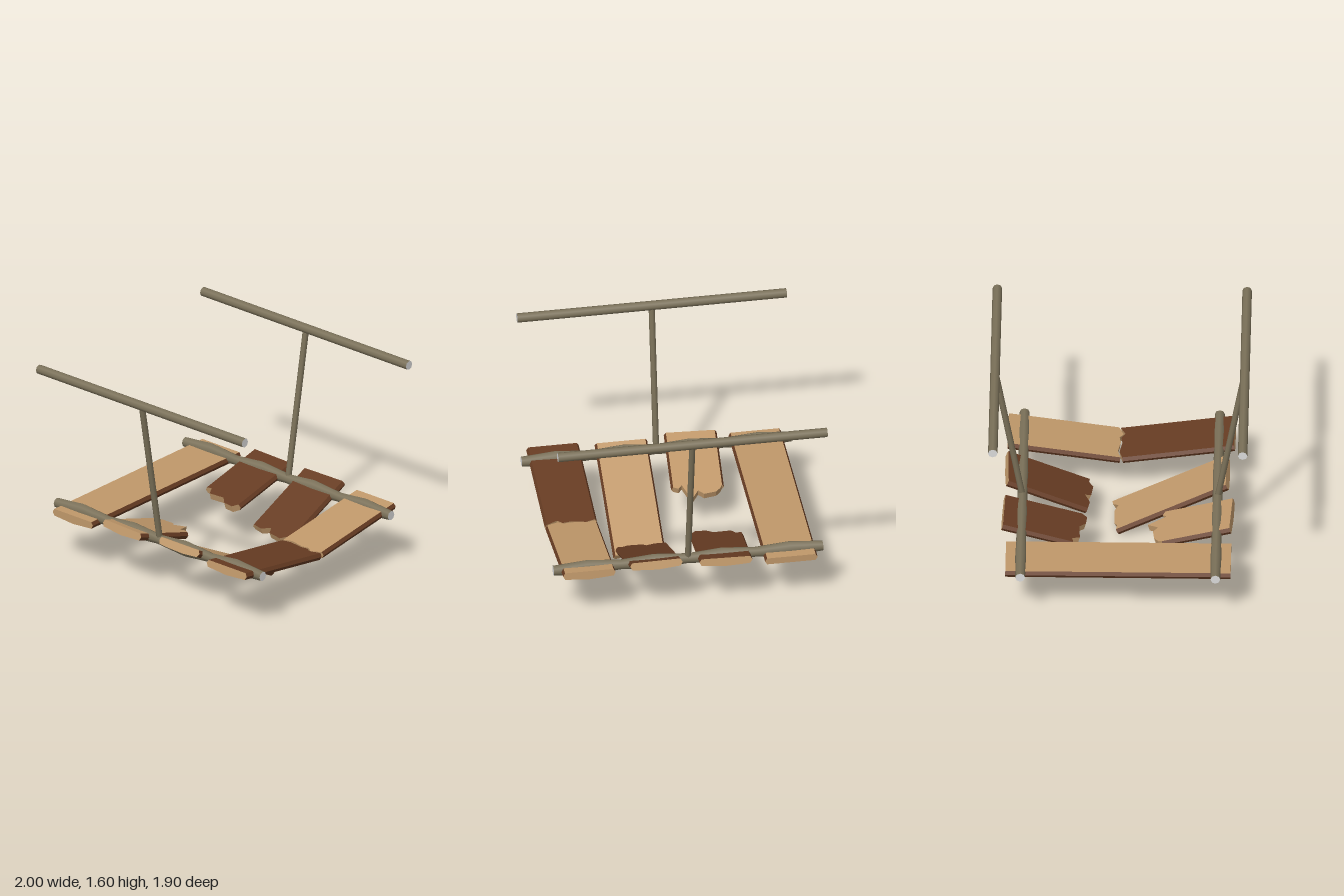
import * as THREE from 'three';

const mat = (name, color) => {
  const m = new THREE.MeshStandardMaterial({ color });
  m.name = name;
  return m;
};

const ROPE_Z = 0.715, ROPE_Y = 0.42;
const PLANK_X = [-0.75, -0.25, 0.25, 0.75];

// Plank lying along -z from its outer end, with bevelled sides and a broken inner end.
// ends: [u, v] pairs across the width; v runs inward from the rope.
function plankGeometry(ends, outerV, topIsLight) {
  const light = [], dark = [];
  const quad = (list, a, b, c, d) => list.push(...a, ...b, ...c, ...a, ...c, ...d);
  const first = ends[0], last = ends[ends.length - 1];
  const columns = [[first[0] - 0.015, first[1], true], ...ends, [last[0] + 0.015, last[1], true]]
    .map(([u, v, edge]) => {
      const t = edge ? 0 : 0.026, b = edge ? 0 : -0.026;
      const sag = edge ? 0 : -0.015 * Math.max(0, 1 - Math.abs(u) / 0.19);
      return { ot: [u, t, -outerV], ob: [u, b + sag, -outerV], it: [u, t, -v], ib: [u, b, -v] };
    });
  for (let i = 0; i < columns.length - 1; i++) {
    const l = columns[i], r = columns[i + 1];
    const bevel = i === 0 || i === columns.length - 2;
    quad(topIsLight && !bevel ? light : dark, l.ot, r.ot, r.it, l.it);
    quad(dark, l.ob, l.ib, r.ib, r.ob);
    quad(light, l.ob, r.ob, r.ot, l.ot);
    quad(light, r.ib, l.ib, l.it, r.it);
  }
  const g = new THREE.BufferGeometry();
  g.setAttribute('position', new THREE.Float32BufferAttribute([...light, ...dark], 3));
  g.addGroup(0, light.length / 3, 0);
  g.addGroup(light.length / 3, dark.length / 3, 1);
  g.computeVertexNormals();
  return g;
}

export function createModel() {
  const model = new THREE.Group();
  const rope = mat('rope', 0x7b7159);
  const ropeEnd = mat('rope end', 0xdcdcdc);
  const wood = mat('light wood', 0xc0986a);
  const bark = mat('dark wood', 0x673c23);

  const add = (name, geometry, material, parent = model) => {
    const m = new THREE.Mesh(geometry, material);
    m.name = name;
    parent.add(m);
    return m;
  };

  // Ropes and hangers on both sides
  for (const s of [1, -1]) {
    const side = s > 0 ? 'front' : 'back';

    const rail = new THREE.CylinderGeometry(0.035, 0.035, 2, 8).rotateZ(Math.PI / 2);
    add(side + 'HandRope', rail, [rope, ropeEnd, ropeEnd]).position.set(0, 1.56, s * 0.915);

    // The foot rope swells where it wraps each plank
    const foot = new THREE.CylinderGeometry(1, 1, 2, 8, 16).rotateZ(Math.PI / 2);
    const p = foot.attributes.position;
    for (let i = 0; i < p.count; i++) {
      const near = Math.min(...PLANK_X.map((x) => Math.abs(p.getX(i) - x)));
      const k = Math.max(0, 1 - near / 0.25);
      p.setY(i, p.getY(i) * (0.037 + 0.027 * k));
      p.setZ(i, p.getZ(i) * (0.036 + 0.006 * k));
    }
    add(side + 'FootRope', foot, [rope, ropeEnd, ropeEnd]).position.set(0, ROPE_Y, s * ROPE_Z);

    const a = new THREE.Vector3(0, ROPE_Y, s * ROPE_Z), b = new THREE.Vector3(0, 1.56, s * 0.915);
    const dir = b.clone().sub(a);
    const hanger = add(side + 'Hanger', new THREE.CylinderGeometry(0.023, 0.023, dir.length(), 8), rope);
    hanger.position.copy(a).add(b).multiplyScalar(0.5);
    hanger.quaternion.setFromUnitVectors(new THREE.Vector3(0, 1, 0), dir.normalize());
  }

  // Planks: side, centre x, downward tilt, yaw, outer z, light top, inner edge as [x offset, z]
  const planks = [
    { name: 'wholePlank', s: 1, x: -0.75, tilt: 0, yaw: 0, outer: 0.825, light: true, y: -0.02,
      edge: [[-0.18, -0.825], [0, -0.825], [0.18, -0.825]] },
    { name: 'frontSplinteredPlank', s: 1, x: -0.265, tilt: 0.29, yaw: -0.055, outer: 0.825, light: true,
      edge: [[-0.18, 0.33], [-0.165, 0.3], [-0.13, 0.27], [-0.04, 0.255], [0.0, 0.29], [0.055, 0.21],
        [0.115, 0.345], [0.14, 0.315], [0.18, 0.33]] },
    { name: 'frontHangingPlank', s: 1, x: 0.25, tilt: 0.48, yaw: 0, outer: 0.785, light: true,
      edge: [[-0.18, -0.02], [-0.14, -0.01], [-0.1, -0.032], [0.05, -0.035], [0.1, -0.005],
        [0.14, -0.045], [0.18, -0.05]] },
    { name: 'frontCrackedPlank', s: 1, x: 0.75, tilt: 0.147, yaw: 0, outer: 0.83, light: false,
      edge: [[-0.18, 0.01], [-0.11, -0.01], [0, 0.01], [0.06, 0], [0.1, 0.03], [0.18, -0.005]] },
    { name: 'backCrackedPlank', s: -1, x: 0.75, tilt: 0.147, yaw: 0, outer: 0.83, light: true,
      edge: [[-0.18, -0.01], [-0.11, -0.03], [0, -0.01], [0.06, -0.02], [0.1, 0.01], [0.18, -0.025]] },
    { name: 'backSplinteredPlank', s: -1, x: -0.265, tilt: 0.26, yaw: -0.035, outer: 0.85, light: false,
      edge: [[-0.18, -0.335], [-0.14, -0.345], [-0.11, -0.29], [0.02, -0.3], [0.07, -0.255],
        [0.15, -0.25], [0.18, -0.29]] },
    { name: 'backHangingPlank', s: -1, x: 0.255, tilt: 0.41, yaw: 0.02, outer: 0.83, light: false,
      edge: [[-0.18, -0.25], [-0.1, -0.235], [-0.03, -0.27], [-0.01, -0.225], [0.1, -0.21],
        [0.14, -0.24], [0.18, -0.235]] },
  ];
  for (const d of planks) {
    const along = (z) => (ROPE_Z - z) / Math.cos(d.tilt);
    const ends = d.edge.map(([u, z]) => [u * d.s, along(z * d.s)]);
    if (d.s < 0) ends.reverse();
    const m = add(d.name, plankGeometry(ends, along(d.outer), d.light), [wood, bark]);
    m.rotation.order = 'YXZ';
    m.rotation.set(-d.tilt, d.yaw + (d.s < 0 ? Math.PI : 0), 0);
    m.position.set(d.x, ROPE_Y + (d.y || 0), d.s * ROPE_Z);
  }
  return model;
}
